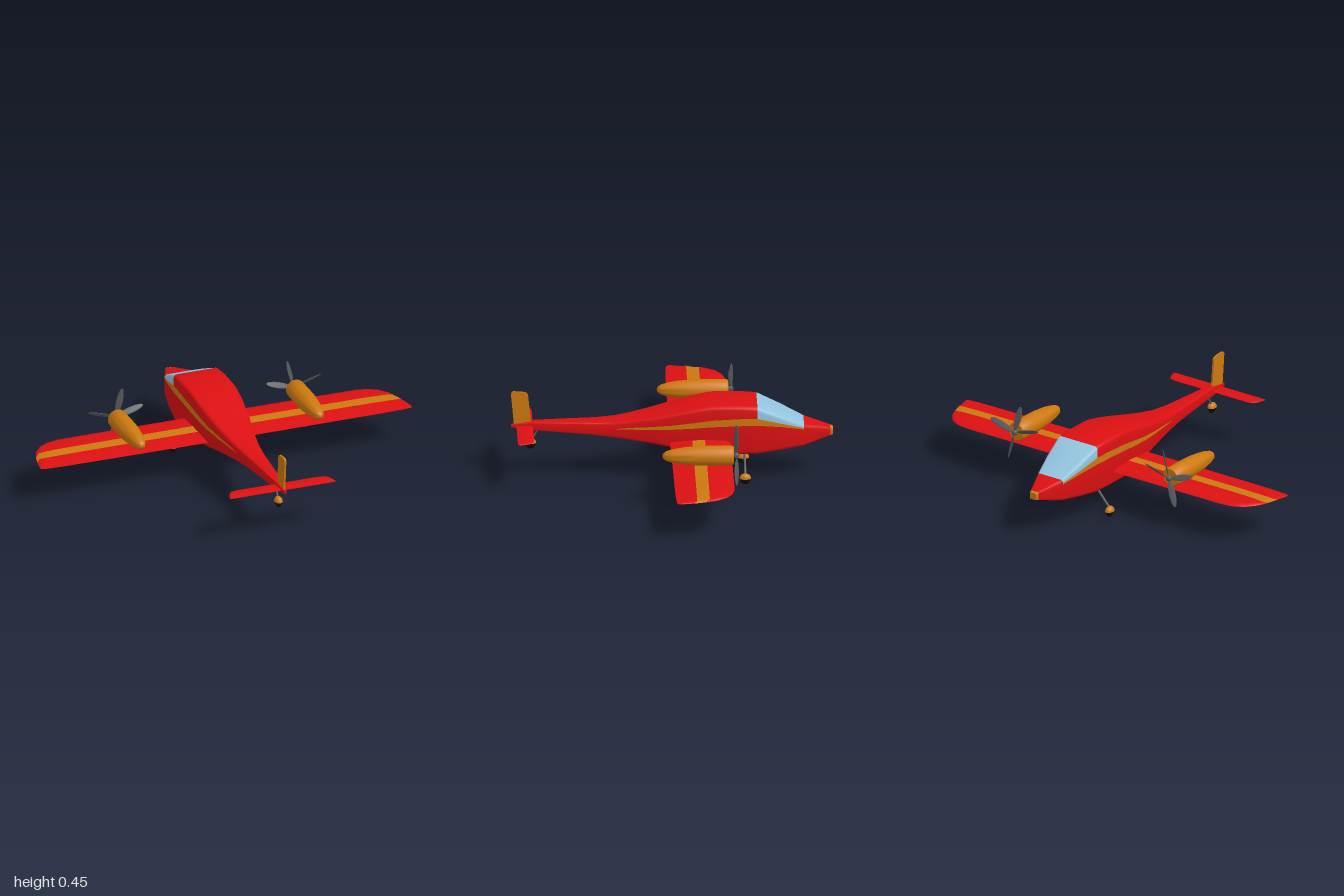
import * as THREE from 'three';
import { toCreasedNormals } from 'three/addons/utils/BufferGeometryUtils.js';

const paint = (name, color) => Object.assign(new THREE.MeshStandardMaterial({ color }), { name });

// Skin closed rings of [x, y, z] points; pick(i, j) gives the material slot of each cell
function loft(rings, pick, crease) {
  const n = rings[0].length;
  const cells = [];
  const put = (slot, ...ids) => (cells[slot] ??= []).push(...ids);
  for (let i = 0; i < rings.length - 1; i++) {
    for (let j = 0; j < n; j++) {
      const k = (j + 1) % n;
      const a = i * n + j, b = i * n + k, c = a + n, d = b + n;
      put(pick(i, j), a, b, d, a, d, c);
    }
  }
  const last = (rings.length - 1) * n;
  for (let j = 1; j < n - 1; j++) {
    put(pick(0, 0), 0, j + 1, j);
    put(pick(rings.length - 2, 0), last, last + j, last + j + 1);
  }
  const geo = new THREE.BufferGeometry();
  geo.setAttribute('position', new THREE.Float32BufferAttribute(rings.flat(2), 3));
  geo.setIndex(cells.flat());
  let start = 0;
  cells.forEach((list, slot) => {
    geo.addGroup(start, list.length, slot);
    start += list.length;
  });
  return toCreasedNormals(geo, crease);
}

// Rounded box section with two extra points per side bounding the stripe
function bodyRing([z, w, yb, yt, s0, s1]) {
  const r = Math.min(0.018, w * 0.25, (yt - yb) * 0.13);
  const half = [[0, yb]];
  const corner = (cy, from) => {
    for (let k = 0; k <= 3; k++) {
      const a = from + (k * Math.PI) / 6;
      half.push([w - r + r * Math.cos(a), cy + r * Math.sin(a)]);
    }
  };
  corner(yb + r, -Math.PI / 2);
  half.push([w, s0], [w, s1]);
  corner(yt - r, 0);
  half.push([0, yt]);
  const other = half.slice(1, -1).reverse().map(([x, y]) => [-x, y]);
  return [...half, ...other].map(([x, y]) => [x, y, z]);
}

// Airfoil panel from half-span stations [x, leading z, trailing z, thickness]
function panel(stations, y, stripe) {
  const mirrored = stations.slice(1).reverse().map(([x, ...rest]) => [-x, ...rest]);
  const rings = [...mirrored, ...stations].map(([x, le, te, t]) => {
    const chord = te - le;
    const a = Math.max(stripe[0], le), b = Math.max(stripe[1], le);
    const zs = [le, Math.min(le + chord * 0.03, a), Math.min(le + chord * 0.12, a), a, b, (b + te) / 2, te];
    const h = (z) => {
      const u = (z - le) / chord;
      return 2.6 * Math.sqrt(Math.max(u, 0)) * (1 - u) * t;
    };
    const top = zs.map((z) => [x, y + h(z) * 0.62, z]);
    const under = zs.slice(1, -1).reverse().map((z) => [x, y - h(z) * 0.38, z]);
    return [...top, ...under];
  });
  return loft(rings, (i, j) => (j === 3 || j === 8 ? 1 : 0), 0.8);
}

export function createModel() {
  const red = paint('red paint', 0xdc1012);
  const orange = paint('orange paint', 0xcc780e);
  const blue = paint('canopy blue', 0x92c4de);
  const grey = paint('dark grey metal', 0x56595c);
  const black = paint('black rubber', 0x0c0c0c);
  const plane = new THREE.Group();
  plane.name = 'airplane';
  const add = (name, geo, mat, parent = plane) => {
    const mesh = new THREE.Mesh(geo, mat);
    mesh.name = name;
    parent.add(mesh);
    return mesh;
  };
  const rod = (name, from, to, r, parent = plane) => {
    const a = new THREE.Vector3(...from), b = new THREE.Vector3(...to);
    const mesh = add(name, new THREE.CylinderGeometry(r, r, a.distanceTo(b), 10), grey, parent);
    mesh.position.copy(a).lerp(b, 0.5);
    mesh.quaternion.setFromUnitVectors(new THREE.Vector3(0, 1, 0), b.sub(a).normalize());
  };

  // Fuselage: z, half width, bottom, top, stripe bottom, stripe top
  const body = [
    [-0.812, 0.019, 0.212, 0.247, 0.225, 0.232],
    [-0.798, 0.025, 0.208, 0.252, 0.226, 0.234],
    [-0.665, 0.08, 0.172, 0.285, 0.262, 0.27],
    [-0.55, 0.104, 0.158, 0.342, 0.285, 0.303],
    [-0.43, 0.122, 0.146, 0.396, 0.3, 0.336],
    [-0.35, 0.125, 0.146, 0.402, 0.3, 0.338],
    [-0.2, 0.124, 0.146, 0.402, 0.295, 0.33],
    [-0.1, 0.118, 0.162, 0.384, 0.286, 0.315],
    [0, 0.108, 0.179, 0.36, 0.278, 0.3],
    [0.1, 0.092, 0.195, 0.336, 0.272, 0.288],
    [0.2, 0.073, 0.208, 0.315, 0.268, 0.278],
    [0.28, 0.06, 0.218, 0.302, 0.265, 0.268],
    [0.38, 0.047, 0.228, 0.296, 0.262, 0.266],
    [0.55, 0.033, 0.24, 0.295, 0.264, 0.268],
    [0.7, 0.021, 0.25, 0.293, 0.268, 0.272],
    [0.805, 0.006, 0.261, 0.277, 0.267, 0.27],
  ];
  const bodyColour = (i, j) => {
    if (i === 0) return 1;
    if ((j === 5 || j === 16) && i >= 2 && i <= 10) return 1;
    if (j >= 6 && j <= 15 && (i === 2 || i === 3)) return 2;
    return 0;
  };
  add('fuselage', loft(body.map(bodyRing), bodyColour, 0.6), [red, orange, blue]);

  // Wing with a spanwise stripe
  add('wing', panel([
    [0, -0.295, 0.01, 0.03], [0.8, -0.295, 0.005, 0.026], [0.86, -0.283, 0.004, 0.024],
    [0.91, -0.255, 0.003, 0.021], [0.95, -0.205, 0.001, 0.017], [0.975, -0.145, -0.001, 0.013],
    [0.99, -0.085, -0.003, 0.009], [1, -0.025, -0.01, 0.004],
  ], 0.21, [-0.166, -0.102]), [red, orange]);

  // Tail surfaces
  add('tailplane', panel([
    [0, 0.695, 0.778, 0.01], [0.23, 0.695, 0.778, 0.01], [0.255, 0.703, 0.778, 0.009],
    [0.272, 0.725, 0.778, 0.007], [0.284, 0.765, 0.776, 0.004],
  ], 0.268, [0.73, 0.75]), [red, red]);
  const finShape = new THREE.Shape();
  finShape.moveTo(0.703, 0.27);
  finShape.lineTo(0.719, 0.43);
  finShape.quadraticCurveTo(0.722, 0.445, 0.742, 0.448);
  finShape.lineTo(0.79, 0.452);
  finShape.quadraticCurveTo(0.807, 0.452, 0.805, 0.43);
  finShape.lineTo(0.79, 0.268);
  const fin = new THREE.ExtrudeGeometry(finShape, { depth: 0.01, bevelEnabled: false });
  add('fin', fin.translate(0, 0, -0.005).rotateY(-Math.PI / 2), orange);

  // Engine nacelles and propellers
  const nacelle = new THREE.LatheGeometry([
    [0, -0.3], [0.044, -0.3], [0.05, -0.292], [0.051, -0.2], [0.05, -0.12], [0.044, -0.05],
    [0.035, 0.005], [0.025, 0.04], [0.013, 0.055], [0, 0.06],
  ].map(([r, z]) => new THREE.Vector2(r, z)), 28).rotateX(Math.PI / 2);
  const bladeAngles = [16, 76, 163, 255];
  for (const side of [1, -1]) {
    const engine = new THREE.Group();
    engine.name = side > 0 ? 'leftEngine' : 'rightEngine';
    engine.position.set(side * 0.48, 0.276, 0);
    plane.add(engine);
    add('nacelle', toCreasedNormals(nacelle, 0.7), orange, engine);
    const hub = add('propellerHub', new THREE.SphereGeometry(0.016, 16, 10), grey, engine);
    hub.position.z = -0.312;
    for (const degrees of bladeAngles) {
      const angle = THREE.MathUtils.degToRad(side < 0 ? degrees : 180 - degrees);
      const blade = new THREE.SphereGeometry(1, 16, 10).scale(0.07, 0.017, 0.003);
      blade.rotateX(side * 0.7).translate(0.085, 0, 0).rotateZ(angle);
      add('propellerBlade', blade, grey, engine).position.z = -0.314;
    }
  }

  // Wheels: black tyre under an orange rounded fairing
  const wheel = (name, x, y, z) => {
    const group = new THREE.Group();
    group.name = name;
    group.position.set(x, y, z);
    plane.add(group);
    const cover = new THREE.SphereGeometry(1, 20, 10, 0, Math.PI * 2, 0, Math.PI / 2);
    add('wheelFairing', cover.scale(0.021, 0.027, 0.029), orange, group);
    const base = new THREE.CircleGeometry(1, 20).rotateX(Math.PI / 2).scale(0.021, 1, 0.029);
    add('fairingBase', base, orange, group);
    const tyre = new THREE.SphereGeometry(1, 20, 14).scale(0.016, 0.026, 0.026);
    add('tyre', tyre, black, group).position.y = -0.004;
  };
  for (const side of [1, -1]) {
    wheel(side > 0 ? 'leftWheel' : 'rightWheel', side * 0.152, 0.03, -0.367);
    rod('gearStrut', [side * 0.05, 0.16, -0.367], [side * 0.148, 0.05, -0.367], 0.006);
  }
  wheel('tailWheel', 0, 0.177, 0.708);
  rod('tailStrut', [0, 0.255, 0.668], [0, 0.19, 0.703], 0.005);
  return plane;
}
